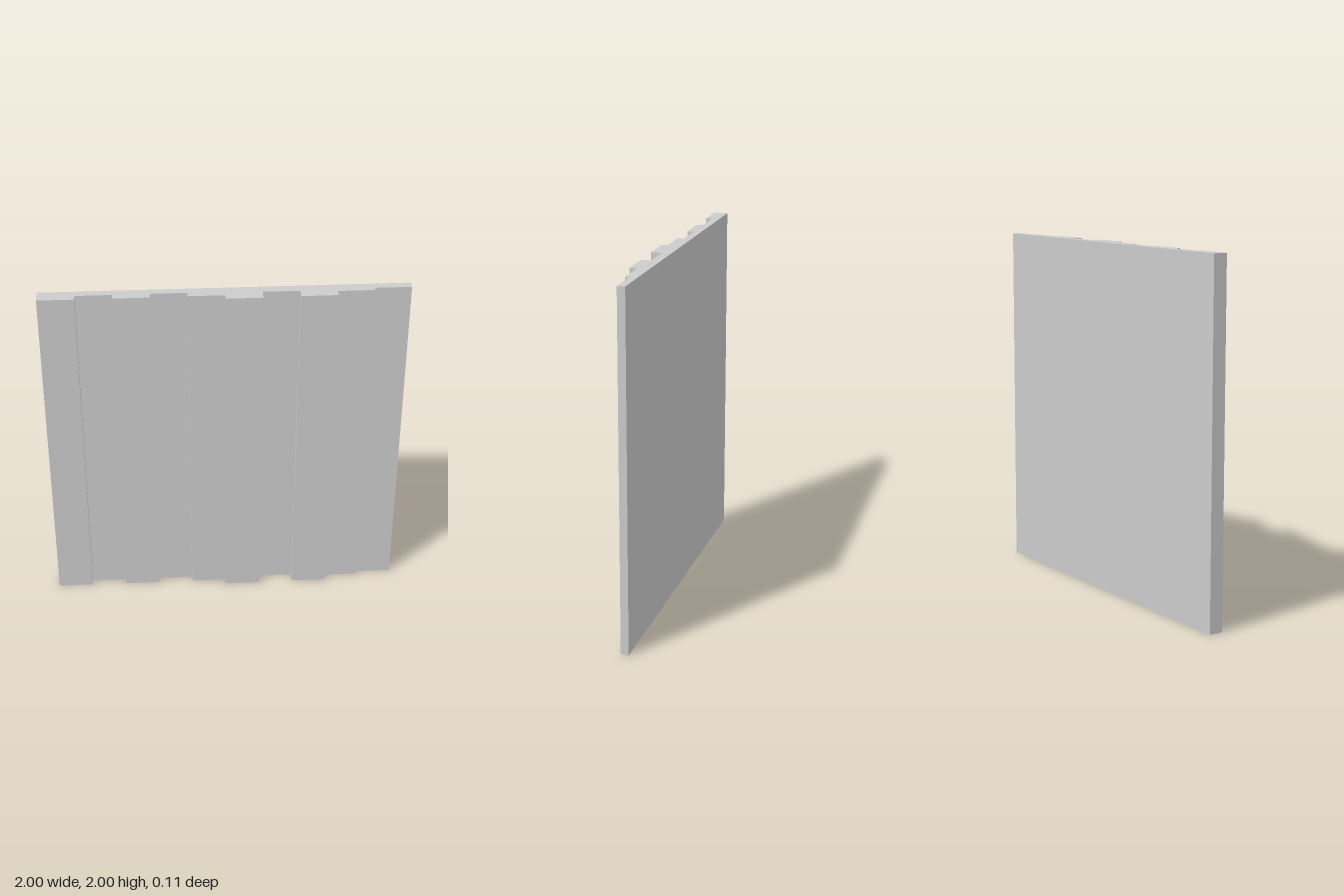
import * as THREE from 'three';

// Front depth (z) of each vertical slat, from the model's right (-x) to its left (+x)
const SLAT_FRONTS = [0.024, -0.013, 0.024, -0.014, 0.021, 0.057, -0.004, 0.051, 0.009, -0.013];
const WIDTH = 2, HEIGHT = 2, BACK = -0.057;

export function createModel() {
  const group = new THREE.Group();
  group.name = 'slattedWallPanel';

  // Plan outline: straight back, stepped front (shape y is -z)
  const slat = WIDTH / SLAT_FRONTS.length;
  const plan = new THREE.Shape();
  plan.moveTo(-WIDTH / 2, -BACK);
  SLAT_FRONTS.forEach((z, i) => {
    const x = -WIDTH / 2 + i * slat;
    plan.lineTo(x, -z);
    plan.lineTo(x + slat, -z);
  });
  plan.lineTo(WIDTH / 2, -BACK);
  plan.closePath();

  // Raise the plan to full height
  const geometry = new THREE.ExtrudeGeometry(plan, { depth: HEIGHT, bevelEnabled: false });
  geometry.rotateX(-Math.PI / 2);

  const panel = new THREE.Mesh(
    geometry,
    new THREE.MeshStandardMaterial({ color: 0xcccccc, flatShading: true })
  );
  panel.name = 'slattedPanel';
  group.add(panel);
  return group;
}
